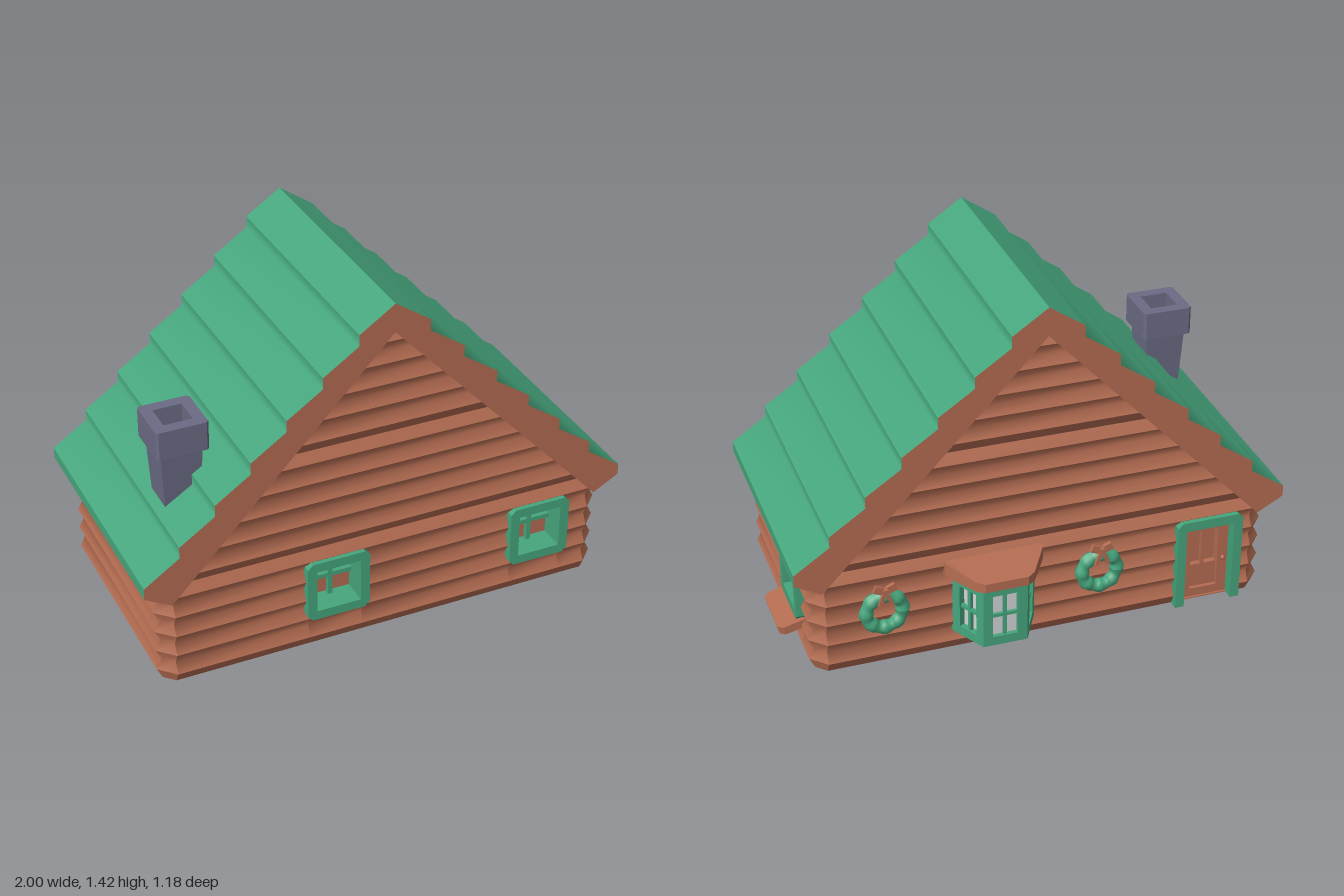
import * as THREE from 'three';

const mat = (name, color, side = THREE.FrontSide) => {
  const m = new THREE.MeshStandardMaterial({ color, side });
  m.name = name;
  return m;
};
const wood = mat('brown wood', 0xb56d52, THREE.DoubleSide);
const green = mat('green paint', 0x46a67d, THREE.DoubleSide);
const stone = mat('grey stone', 0x6b6c85);
const glass = mat('pale glass', 0xd4d5da);

// House half sizes, log half height, log relief and corner chamfer
const HX = 0.927, HZ = 0.5, STEP = 0.0435, RELIEF = 0.022, CH = 0.062;

function add(parent, name, geo, material, x = 0, y = 0, z = 0) {
  const m = new THREE.Mesh(geo, material);
  m.name = name;
  m.position.set(x, y, z);
  parent.add(m);
  return m;
}
function addGroup(parent, name, x = 0, y = 0, z = 0, ry = 0) {
  const g = new THREE.Group();
  g.name = name;
  g.position.set(x, y, z);
  g.rotation.y = ry;
  parent.add(g);
  return g;
}
const box = (w, h, d) => new THREE.BoxGeometry(w, h, d);

// Surface through rows of [left, right] points; a row marked sharp splits the normals
function loft(rows) {
  const pos = [], idx = [];
  let n = 0;
  rows.forEach(({ a, b, sharp }, i) => {
    const put = () => { pos.push(...a, ...b); n++; };
    put();
    if (i > 0) { const k = (n - 2) * 2; idx.push(k, k + 1, k + 3, k, k + 3, k + 2); }
    if (sharp && i > 0 && i < rows.length - 1) put();
  });
  const g = new THREE.BufferGeometry();
  g.setAttribute('position', new THREE.Float32BufferAttribute(pos, 3));
  g.setIndex(idx);
  g.computeVertexNormals();
  return g;
}

// How far the log surface lies behind its ridges at height y
const inset = (y) => {
  const t = (y / STEP) % 2;
  return RELIEF * Math.abs(1 - t);
};
function logStrip(y0, y1, ends) {
  const rows = [];
  const row = (y, sharp) => { const [a, b] = ends(y); rows.push({ a, b, sharp }); };
  row(y0, false);
  for (let k = Math.floor(y0 / STEP + 1e-6) + 1; k * STEP < y1 - 1e-6; k++) row(k * STEP, k % 2 === 1);
  row(y1, false);
  return loft(rows);
}

// Log wall facing +z, with rectangular openings [centre, half width, bottom, top]
function logWall(parent, half, dist, openings) {
  const strip = (u0, u1, y0, y1) => {
    if (y1 - y0 < 1e-4) return;
    add(parent, 'logWall', logStrip(y0, y1, (y) => [[u0, y, dist - inset(y)], [u1, y, dist - inset(y)]]), wood);
  };
  let u = -half;
  for (const [c, w, y0, y1] of openings) {
    strip(u, c - w, 0, 0.435);
    strip(c - w, c + w, 0, y0);
    strip(c - w, c + w, y1, 0.435);
    u = c + w;
  }
  strip(u, half, 0, 0.435);
}

function gable(parent, dist) {
  for (const y0 of [0.435, 0.87]) {
    add(parent, 'gableLogs', logStrip(y0, y0 + 0.435, (y) => {
      const w = 0.03 + 0.88 * (1.305 - y) / 0.928, z = dist - inset(y);
      return [[-w, y, z], [w, y, z]];
    }), wood);
  }
}

function roundRect(w, h, r, Type = THREE.Shape) {
  const s = new Type(), x = w / 2, y = h / 2;
  s.moveTo(-x + r, -y).lineTo(x - r, -y).lineTo(x, -y + r).lineTo(x, y - r);
  s.lineTo(x - r, y).lineTo(-x + r, y).lineTo(-x, y - r).lineTo(-x, -y + r);
  s.closePath();
  return s;
}
function ring(w, h, border, depth, r) {
  const s = roundRect(w, h, r);
  s.holes.push(roundRect(w - 2 * border, h - 2 * border, 0.0001, THREE.Path));
  return new THREE.ExtrudeGeometry(s, { depth, bevelEnabled: false });
}

// Deep window facing +z with a recessed back and glazing bars
function recessedWindow(parent, x, y, w, h, crossed) {
  const g = addGroup(parent, 'window', x, y, 0);
  add(g, 'windowFrame', ring(w, h, 0.038, 0.115, 0.02), green, 0, 0, -0.097);
  add(g, 'windowBack', box(w - 0.04, h - 0.04, 0.01), wood, 0, 0, -0.095);
  add(g, 'windowBar', box(0.018, h - 0.07, 0.02), green, 0, 0, -0.075);
  if (crossed) add(g, 'windowBar', box(w - 0.07, 0.018, 0.02), green, 0, 0, -0.075);
}

function door(parent, x) {
  const g = addGroup(parent, 'door', x, 0, 0);
  const f = new THREE.Shape();
  [[-0.137, 0], [-0.137, 0.37], [-0.117, 0.39], [0.117, 0.39], [0.137, 0.37], [0.137, 0],
    [0.1, 0], [0.1, 0.35], [-0.1, 0.35], [-0.1, 0]].forEach(([px, py], i) => (i ? f.lineTo(px, py) : f.moveTo(px, py)));
  add(g, 'doorFrame', new THREE.ExtrudeGeometry(f, { depth: 0.1, bevelEnabled: false }), green, 0, 0, -0.08);
  add(g, 'doorBack', box(0.23, 0.37, 0.01), wood, 0, 0.185, -0.073);
  add(g, 'doorLeaf', ring(0.2, 0.35, 0.042, 0.04, 0.0001), wood, 0, 0.175, -0.07);
  add(g, 'doorPanel', box(0.12, 0.11, 0.03), wood, 0, 0.09, -0.06);
  add(g, 'doorWindowBar', box(0.014, 0.28, 0.02), wood, 0, 0.18, -0.055);
  add(g, 'doorKnob', new THREE.SphereGeometry(0.01, 8, 6), wood, 0.078, 0.17, -0.022);
}

// Flat prism from [x, z] points
function prism(points, height) {
  const s = new THREE.Shape(points.map(([x, z]) => new THREE.Vector2(x, -z)));
  return new THREE.ExtrudeGeometry(s, { depth: height, bevelEnabled: false }).rotateX(-Math.PI / 2);
}

function bayWindow(parent, x) {
  const g = addGroup(parent, 'bayWindow', x, 0, 0);
  const P = [[-0.165, 0], [-0.088, 0.143], [0.088, 0.143], [0.165, 0]];
  const back = [[0.165, -0.04], [-0.165, -0.04]];
  add(g, 'bayGlass', prism([[-0.135, -0.03], [-0.075, 0.125], [0.075, 0.125], [0.135, -0.03]], 0.24), glass, 0, 0.1, 0);
  add(g, 'bayBase', prism([...P, ...back], 0.02), green, 0, 0.09, 0);
  for (let i = 0; i < 3; i++) {
    const [ax, az] = P[i], [bx, bz] = P[i + 1];
    const len = Math.hypot(bx - ax, bz - az);
    const f = addGroup(g, 'bayFace', (ax + bx) / 2, 0.22, (az + bz) / 2, -Math.atan2(bz - az, bx - ax));
    add(f, 'bayFrame', ring(len, 0.26, 0.038, 0.025, 0.0001), green, 0, 0, -0.025);
    add(f, 'bayBar', box(0.014, 0.2, 0.015), green, 0, 0, -0.014);
    add(f, 'bayBar', box(len - 0.06, 0.014, 0.015), green, 0, 0, -0.014);
  }
  // Hood whose top falls away from the wall
  const hood = prism([[-0.195, -0.03], [-0.195, 0.012], [-0.115, 0.143], [-0.085, 0.163],
    [0.085, 0.163], [0.115, 0.143], [0.195, 0.012], [0.195, -0.03]], 0.06);
  const p = hood.attributes.position;
  for (let i = 0; i < p.count; i++) if (p.getY(i) > 0.03) p.setY(i, 0.06 - 0.14 * Math.max(0, p.getZ(i)));
  hood.computeVertexNormals();
  add(g, 'bayHood', hood, wood, 0, 0.35, 0);
}

function wreath(parent, x) {
  const g = addGroup(parent, 'wreath', x, 0.245, 0.005);
  const geo = new THREE.TorusGeometry(0.071, 0.027, 8, 40);
  const p = geo.attributes.position;
  for (let i = 0; i < p.count; i++) {
    const px = p.getX(i), py = p.getY(i), a = Math.atan2(py, px), r = Math.hypot(px, py);
    const k = 1 + 0.12 * Math.cos(8 * a), nr = 0.071 + (r - 0.071) * k;
    p.setXYZ(i, nr * Math.cos(a), nr * Math.sin(a), p.getZ(i) * k);
  }
  geo.computeVertexNormals();
  add(g, 'wreathRing', geo, green);
  add(g, 'bowKnot', box(0.022, 0.025, 0.024), wood, 0, 0.1, 0.022);
  for (const s of [-1, 1]) {
    add(g, 'bowLoop', box(0.034, 0.03, 0.016), wood, s * 0.026, 0.112, 0.02).rotation.z = s * 0.4;
    add(g, 'bowTail', box(0.015, 0.05, 0.012), wood, s * 0.015, 0.068, 0.028).rotation.z = s * 0.35;
  }
}

function roof(parent) {
  const g = addGroup(parent, 'roof');
  const D = 0.515, N = 7, W = 0.985 / N, DROP = 0.0455;
  // One slope, from peak to eave, with a lip at every board
  const slope = [{ x: 0, y: 1.42, sharp: false }];
  for (let i = 1; i <= N; i++) {
    const low = 1.42 - 0.1407 * i;
    slope.push({ x: W * i, y: low + DROP, sharp: true }, { x: W * i, y: low, sharp: false });
  }
  const under = [{ x: 0.985, y: 0.435, sharp: false }, { x: 0.88, y: 0.377, sharp: true }, { x: 0, y: 1.305, sharp: false }];
  for (const s of [1, -1]) {
    const rows = (pts) => pts.map(({ x, y, sharp }) => ({ a: [s * x, y, -s * D], b: [s * x, y, s * D], sharp })).map(
      (r) => ({ a: r.b, b: r.a, sharp: r.sharp })).reverse();
    add(g, 'roofBoards', loft(rows(slope)), green);
    add(g, 'roofUnderside', loft(rows(under)), wood);
  }
  // Stepped end boards
  const right = [...slope, ...under.slice(1)];
  const left = [under[1], ...slope.slice(1).reverse()].map(({ x, y }) => ({ x: -x, y }));
  const shape = new THREE.Shape([...right, ...left].map(({ x, y }) => new THREE.Vector2(x, y)));
  add(g, 'frontGableBoard', new THREE.ShapeGeometry(shape), wood, 0, 0, D);
  add(g, 'backGableBoard', new THREE.ShapeGeometry(shape), wood, 0, 0, -D).rotation.y = Math.PI;
}

function chimney(parent) {
  const g = addGroup(parent, 'chimney', -0.74, 0, 0.215);
  const shaft = new THREE.CylinderGeometry(0.083 * Math.SQRT2, 0.064 * Math.SQRT2, 0.36, 4, 1).rotateY(Math.PI / 4).toNonIndexed();
  shaft.computeVertexNormals();
  add(g, 'chimneyShaft', shaft, stone, 0, 0.72, 0);
  add(g, 'chimneyCap', ring(0.204, 0.204, 0.046, 0.115, 0.01).rotateX(-Math.PI / 2), stone, 0, 0.87, 0);
}

export function createModel() {
  const model = new THREE.Group();
  model.name = 'logCabin';
  const house = addGroup(model, 'house', -0.013, 0, 0.074);

  // Front
  const front = addGroup(house, 'front');
  const winX = [-0.217, 0.643];
  logWall(front, HX - CH, HZ, winX.map((x) => [x, 0.11, 0.155, 0.37]));
  gable(front, HZ);
  const frontFit = addGroup(front, 'frontFittings', 0, 0, HZ);
  for (const x of winX) recessedWindow(frontFit, x, 0.262, 0.256, 0.256, true);

  // Back
  const rear = addGroup(house, 'back', 0, 0, 0, Math.PI);
  logWall(rear, HX - CH, HZ, [[0.682, 0.118, 0, 0.37]]);
  gable(rear, HZ);
  const rearFit = addGroup(rear, 'backFittings', 0, 0, HZ);
  door(rearFit, 0.682);
  bayWindow(rearFit, -0.208);
  for (const x of [-0.643, 0.222]) wreath(rearFit, x);

  // Sides: the left one has a window with a tilted ledge
  const side = addGroup(house, 'leftSide', 0, 0, 0, Math.PI / 2);
  logWall(side, HZ - CH, HX, [[0.213, 0.11, 0.175, 0.37]]);
  const sideFit = addGroup(side, 'leftFittings', 0, 0, HX);
  recessedWindow(sideFit, 0.213, 0.272, 0.254, 0.236, false);
  add(sideFit, 'windowLedge', prism([[-0.127, -0.05], [-0.127, 0.065], [-0.105, 0.085], [0.105, 0.085], [0.127, 0.065], [0.127, -0.05]], 0.034),
    wood, 0.213, 0.12, 0).rotation.x = 0.25;
  logWall(addGroup(house, 'rightSide', 0, 0, 0, -Math.PI / 2), HZ - CH, HX, []);

  // Chamfered corners
  for (const sx of [1, -1]) for (const sz of [1, -1]) {
    add(house, 'cornerPost', logStrip(0, 0.435, (y) => {
      const a = [sx * (HX - CH), y, sz * (HZ - inset(y))], b = [sx * (HX - inset(y)), y, sz * (HZ - CH)];
      return sx * sz > 0 ? [a, b] : [b, a];
    }), wood);
  }
  const fx = HX - RELIEF, fz = HZ - RELIEF, cx = HX - CH, cz = HZ - CH;
  add(house, 'floor', prism([[cx, fz], [fx, cz], [fx, -cz], [cx, -fz], [-cx, -fz], [-fx, -cz], [-fx, cz], [-cx, fz]], 0.005), wood);

  roof(house);
  chimney(house);
  return model;
}
